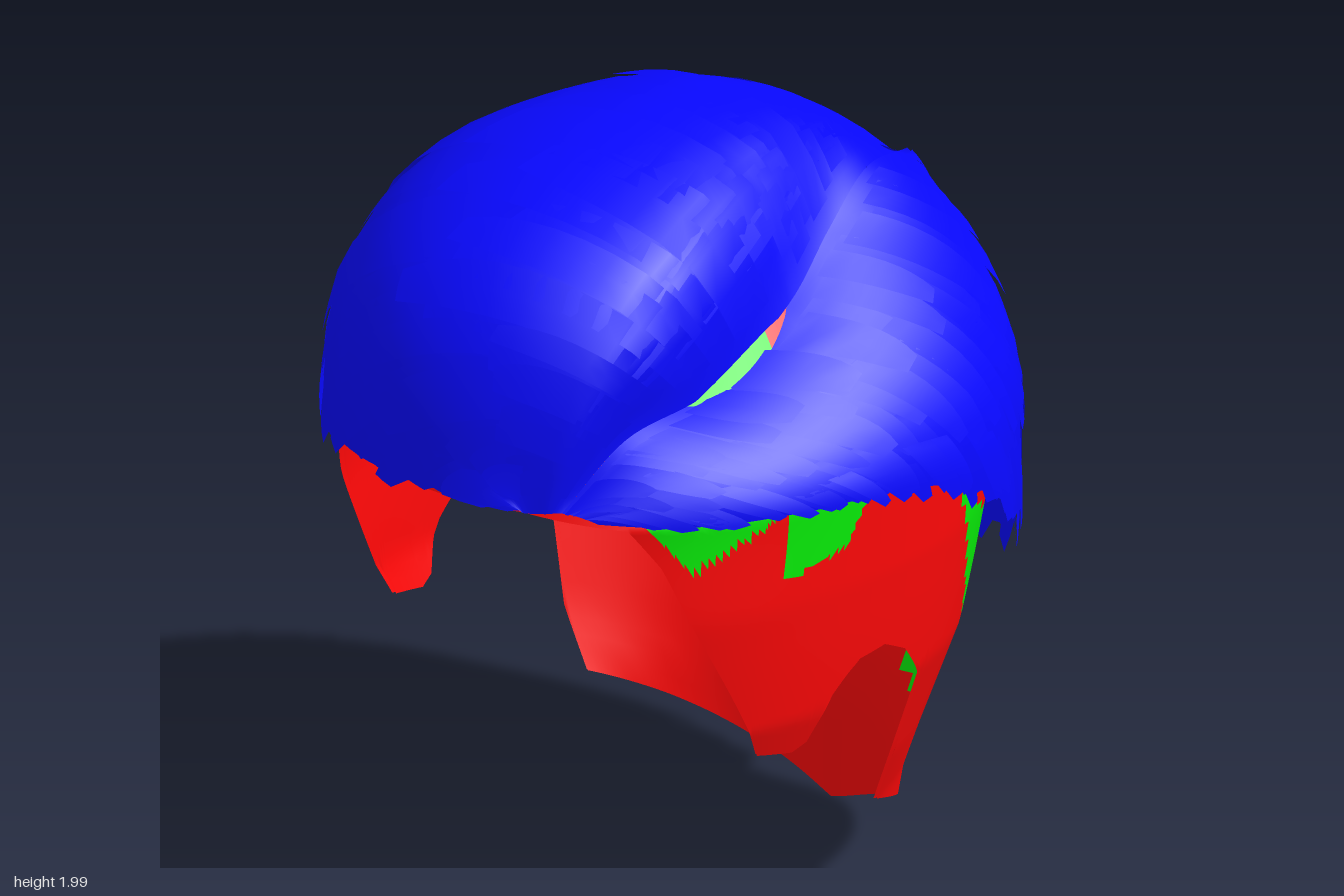
import * as THREE from 'three';

const V = (x, y, z) => new THREE.Vector3(x, y, z);
const { lerp, clamp, smoothstep, degToRad } = THREE.MathUtils;
const CENTRE = V(0, 1.2, 0);
const material = (color) => new THREE.MeshStandardMaterial({ color, side: THREE.DoubleSide });
const RED = material(0xff0808), GREEN = material(0x08ee08), BLUE = material(0x0808ff);

// Small seeded random numbers
let seed = 7;
const rand = (a = 0, b = 1) => {
  seed = (seed * 16807) % 2147483647;
  return a + (b - a) * (seed / 2147483647);
};

// Grid of points as vertices plus quads; keep(point) selects which faces to use
function gridGeometry(nu, nv, pointAt, keep = () => true) {
  const pos = [], index = [];
  for (let j = 0; j <= nv; j++)
    for (let i = 0; i <= nu; i++) pos.push(...pointAt(i / nu, j / nv, i).toArray());
  const at = (k) => V(pos[3 * k], pos[3 * k + 1], pos[3 * k + 2]);
  for (let j = 0; j < nv; j++)
    for (let i = 0; i < nu; i++) {
      const a = j * (nu + 1) + i, b = a + 1, c = a + nu + 1, d = c + 1;
      const mid = at(a).add(at(b)).add(at(c)).add(at(d)).multiplyScalar(0.25);
      if (keep(mid)) index.push(a, b, d, a, d, c);
    }
  const g = new THREE.BufferGeometry();
  g.setAttribute('position', new THREE.Float32BufferAttribute(pos, 3));
  g.setIndex(index);
  g.computeVertexNormals();
  return g;
}

function addMesh(group, name, geometry, mat) {
  const mesh = new THREE.Mesh(geometry, mat);
  mesh.name = name;
  group.add(mesh);
}

// ---- Scalp cap: horizontal sections [y, half width, back z, front z]
const SECTIONS = [
  [0, 0.46, -0.57, 0.57], [0.27, 0.53, -0.58, 0.58], [0.42, 0.6, -0.6, 0.66], [0.68, 0.68, -0.69, 0.78],
  [1.0, 0.705, -0.77, 0.82], [1.25, 0.71, -0.8, 0.84], [1.35, 0.66, -0.77, 0.8], [1.5, 0.54, -0.66, 0.64],
  [1.62, 0.42, -0.52, 0.5], [1.75, 0.24, -0.3, 0.28], [1.8, 0, 0, 0],
];
// Lower edge [degrees from the front, y]: hairline, sideburn, ear cut-out, nape
const EDGE = [
  [0, 1.28], [25, 1.28], [45, 1.25], [51, 1.15], [57, 1.0], [70, 0.68], [72, 0.6], [80, 0.58], [83, 0.6],
  [87, 0.72], [91, 0.79], [96, 0.8], [103, 0.75], [110, 0.65], [111, 0.27], [132, 0.19], [157, 0.09], [180, 0],
];
// Patches in side elevation (z, y), on both sides
const SIDE_PATCHES = [
  [[0.6, 1.3], [0.48, 1.13], [0.23, 1.26]],
  [[0.24, 1.27], [0.26, 1.07], [0.08, 1.11], [-0.02, 1.27]],
  [[-0.35, 1.12], [-0.54, 0.43], [-0.57, 0.66], [-0.66, 0.84]],
  [[0.6, 1.42], [0.55, 1.36], [0.1, 1.5], [0.1, 1.62], [0.3, 1.6]],
];
// Patches in rear elevation (x, y): outside of the nape, and inside it (mirrored)
const NAPE_PATCH = [[0.3, 0.8], [0.1, 0.07], [0.03, 0.35], [-0.07, 0.04], [-0.14, 0.06], [-0.3, 0.8]];
const INNER_PATCH = [[0.37, 0.62], [0.32, 0.71], [0.23, 0.41], [0.33, 0.42]];

function inside(poly, a, y) {
  let hit = false;
  poly.forEach(([a1, y1], i) => {
    const [a2, y2] = poly[(i + 1) % poly.length];
    if ((y1 > y) !== (y2 > y) && a < a1 + ((a2 - a1) * (y - y1)) / (y2 - y1)) hit = !hit;
  });
  return hit;
}
const isOuterPatch = (p) => SIDE_PATCHES.some((poly) => inside(poly, p.z, p.y))
  || (p.z < 0 && inside(NAPE_PATCH, p.x, p.y));
const isInnerPatch = (p) => p.z < 0 && inside(INNER_PATCH, Math.abs(p.x), p.y);

// Point on the cap; sections are squarer than an ellipse, except above the hairline
function capPoint(phi, y) {
  let i = 0;
  while (i < SECTIONS.length - 2 && y > SECTIONS[i + 1][0]) i++;
  const a = SECTIONS[i], b = SECTIONS[i + 1], t = (y - a[0]) / (b[0] - a[0]);
  const [, rx, zb, zf] = a.map((v, k) => lerp(v, b[k], t));
  const s = Math.sin(phi), c = Math.cos(phi);
  const e = c < 0 ? 0.88 : lerp(0.88, 0.98, smoothstep(y, 0.95, 1.25));
  const square = (v) => Math.sign(v) * Math.abs(v) ** e;
  const shift = 0.02 * smoothstep(y, 0.2, 0.9);
  return V(shift + rx * square(s), y, (zf + zb) / 2 + ((zf - zb) / 2) * square(c));
}

function buildCap(group, name, inset, rows, isPatch) {
  const SUB = 10, half = (EDGE.length - 1) * SUB;
  const point = (u, v, i) => {
    const k = Math.abs(i - half), e = Math.min(Math.floor(k / SUB), EDGE.length - 2), t = k / SUB - e;
    const phi = degToRad(lerp(EDGE[e][0], EDGE[e + 1][0], t)) * Math.sign(i - half);
    const p = capPoint(phi, lerp(lerp(EDGE[e][1], EDGE[e + 1][1], t), 1.8, v));
    return p.multiply(V(inset, 1, inset));
  };
  addMesh(group, name, gridGeometry(half * 2, rows, point, (p) => !isPatch(p)), RED);
  addMesh(group, name + 'Patches', gridGeometry(half * 2, rows, point, isPatch), GREEN);
}

// ---- Hair: outer hull radius along a direction from the centre
function hullRadius(d) {
  const back = d.z < 0, n = back ? 2 : 2 + d.z;
  // Plan squareness: full at the back, slimmer at the swept front corner
  const m = back ? 2 + 0.35 * (1 - clamp(d.y * 1.3, 0, 1)) : d.x < 0 ? 1.78 : 2;
  const q = (Math.abs(d.x / 0.765) ** m + Math.abs(d.z / (back ? 0.85 : 0.875)) ** m) ** (1 / m);
  return (q ** n + Math.abs(d.y / (d.y > 0 ? 0.782 : 1.6)) ** n) ** (-1 / n);
}
const curve = (pts) => new THREE.CatmullRomCurve3(pts.map((p) => V(...p)));

// Parting, from the forehead to the crown
const PART = curve([[0.42, 1.3, 0.72], [0.46, 1.45, 0.55], [0.48, 1.5, 0.3], [0.44, 1.62, 0],
  [0.37, 1.73, -0.2], [0.29, 1.8, -0.4], [0.2, 1.75, -0.62]]);

// Each section flows from the parting, through its middle directions, to its hem
const TOP = {
  mid: curve([[0.3, 0.1, 0.8], [0.25, 0.45, 0.75], [0, 0.7, 0.6], [-0.25, 0.95, 0.25],
    [-0.3, 1, -0.1], [-0.3, 0.8, -0.5], [0.1, 0.4, -0.9]]),
  hem: curve([[0.38, 1.3, 0.76], [-0.05, 1.31, 0.87], [-0.5, 1.23, 0.6], [-0.72, 1.1, 0.27],
    [-0.76, 1.11, -0.1], [-0.6, 0.92, -0.55], [0, 0.72, -0.82]]),
  rise: (u) => smoothstep(u, -0.02, 0.16),
  skew: 0.04,
};
const SIDE = {
  mid: curve([[0.46, 0.1, 0.7], [0.56, 0.16, 0.52], [0.66, 0.2, 0.25], [0.68, 0.28, -0.08],
    [0.6, 0.32, -0.38], [0.42, 0.25, -0.65], [0.1, 0.4, -0.9]]),
  hem: curve([[0.5, 1.28, 0.68], [0.62, 1.26, 0.48], [0.74, 1.25, 0.2], [0.76, 1.22, -0.1],
    [0.7, 1.09, -0.4], [0.47, 0.84, -0.68], [0, 0.72, -0.82]]),
  rise: (u) => Math.sin((clamp(u, 0, 1) * Math.PI) / 2),
  skew: 0.22,
};

function hairPoint(part, u, v, lift = 0) {
  v = clamp(v, 0, 1);
  const start = PART.getPoint(v).sub(CENTRE), end = part.hem.getPoint(v).sub(CENTRE);
  const k0 = start.length() / hullRadius(start.clone().normalize());
  const d = start.multiplyScalar((1 - u) ** 2)
    .addScaledVector(part.mid.getPoint(v), 2 * u * (1 - u))
    .addScaledVector(end, u * u).normalize();
  const k = lerp(k0, 1, part.rise(u)) + lift;
  return d.multiplyScalar(hullRadius(d) * k).add(CENTRE);
}

// A tapering lock lying on the section, its tip slightly raised
function lock(part, u0, length, v0, width, lift) {
  return gridGeometry(8, 2, (s, w) => {
    const u = u0 + length * s - 0.03 * w * s;
    const taper = 1 - 0.5 * s ** 4;
    return hairPoint(part, u, v0 + part.skew * u + (w - 0.5) * width * taper, lift * (0.3 + 0.7 * s));
  });
}

function buildHair(group, name, part, count) {
  const section = new THREE.Group();
  section.name = name;
  addMesh(section, name + 'Base', gridGeometry(36, 60, (u, v) => hairPoint(part, u, v)), BLUE);
  for (let i = 0; i < count; i++) {
    const v = (i + rand()) / count, layer = i % 3;
    const u0 = [0.02, 0.3, 0.62][layer] + rand(0, 0.08);
    const length = layer === 2 ? rand(1.0, 1.05) - u0 : rand(0.35, 0.5);
    addMesh(section, name + 'Lock', lock(part, u0, length, v - part.skew * u0, rand(0.04, 0.08), rand(0.008, 0.028)), BLUE);
  }
  // Ragged tips along the hem
  for (let i = 0; i < count / 3; i++)
    addMesh(section, name + 'Tip',
      lock(part, 0.8, rand(0.2, 0.27), rand(0.35, 0.99) - part.skew, rand(0.03, 0.05), rand(0.01, 0.035)), BLUE);
  group.add(section);
}

export function createModel() {
  seed = 7;
  const model = new THREE.Group();
  model.name = 'hairpiece';
  buildCap(model, 'scalpCap', 1, 60, isOuterPatch);
  buildCap(model, 'capLining', 0.985, 36, isInnerPatch);
  buildHair(model, 'sweptTopHair', TOP, 110);
  buildHair(model, 'sideHair', SIDE, 70);
  return model;
}
